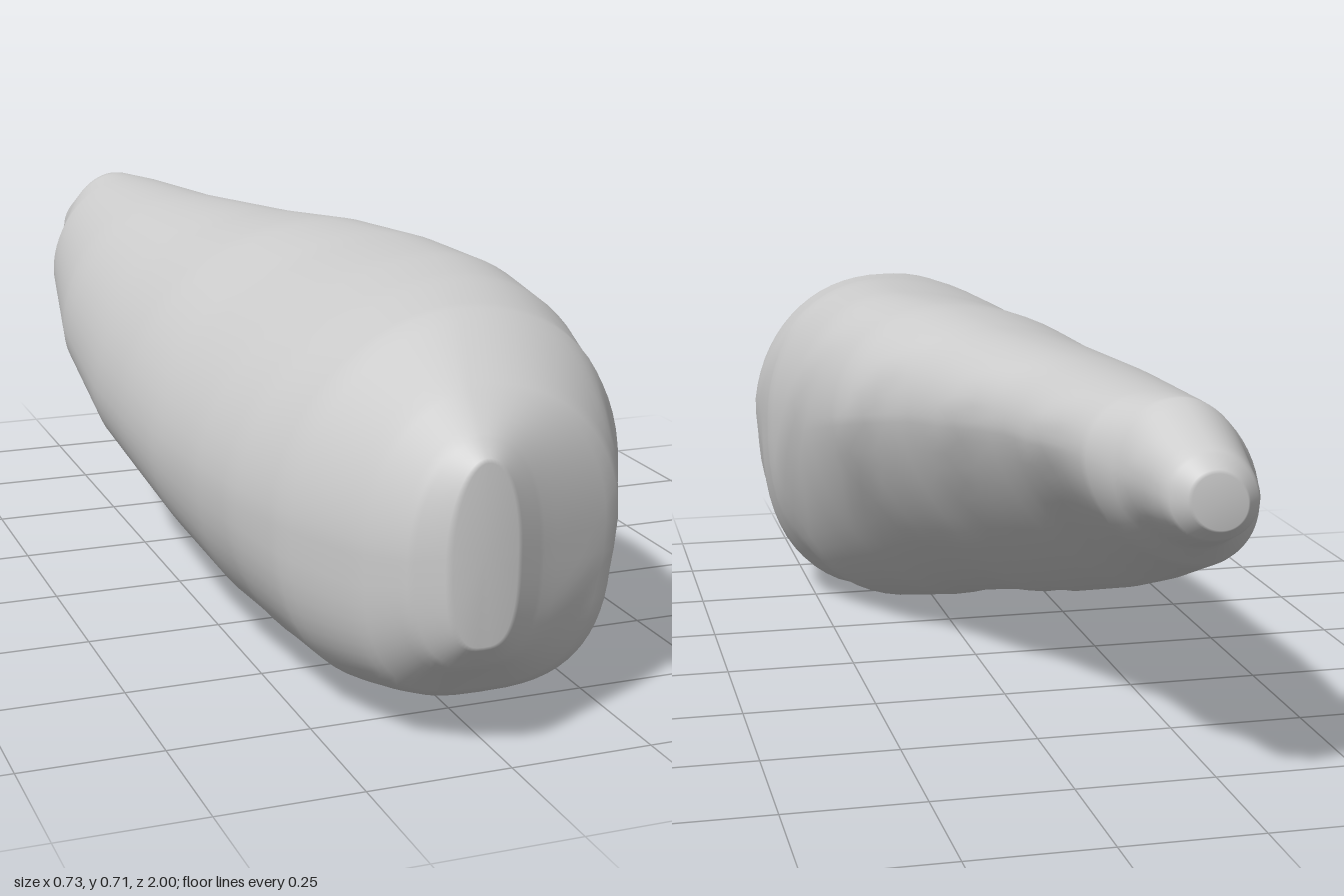
import * as THREE from 'three';

// Cross-sections: z, min x, max x, bottom y, top y, then where each extreme sits:
// x of the top, x of the bottom, y of the left edge, y of the right edge
const SECTIONS = [
  [-1.0, -0.2, -0.11, 0.5, 0.59, -0.15, -0.16, 0.54, 0.55],
  [-0.97, -0.23, -0.075, 0.475, 0.62, -0.15, -0.16, 0.54, 0.55],
  [-0.85, -0.26, -0.04, 0.43, 0.68, -0.14, -0.18, 0.52, 0.57],
  [-0.77, -0.305, 0.005, 0.38, 0.68, -0.12, -0.21, 0.48, 0.58],
  [-0.5, -0.35, 0.065, 0.275, 0.685, -0.08, -0.22, 0.41, 0.57],
  [-0.2, -0.365, 0.175, 0.175, 0.695, 0, -0.15, 0.36, 0.54],
  [0, -0.365, 0.27, 0.13, 0.71, 0.05, -0.09, 0.35, 0.5],
  [0.2, -0.36, 0.32, 0.07, 0.71, 0.11, -0.02, 0.34, 0.46],
  [0.4, -0.345, 0.36, 0.01, 0.71, 0.11, 0.04, 0.34, 0.42],
  [0.55, -0.325, 0.363, 0, 0.7, 0.08, 0.05, 0.34, 0.4],
  [0.7, -0.29, 0.335, 0.02, 0.68, 0.03, 0.04, 0.34, 0.38],
  [0.87, -0.22, 0.24, 0.075, 0.6, -0.03, 0, 0.34, 0.35],
  [0.96, -0.17, 0.065, 0.16, 0.545, -0.05, -0.04, 0.35, 0.35],
  [1.0, -0.11, 0, 0.21, 0.51, -0.055, -0.055, 0.36, 0.36],
];
const SEGMENTS = 64;
const STEPS = 6;
const { lerp, smoothstep } = THREE.MathUtils;

// Shallow slanted growth steps
function relief(y, z) {
  const t = (z + 0.6 * y) / 0.27;
  const saw = t - Math.floor(t);
  return (saw < 0.8 ? saw / 0.8 : (1 - saw) / 0.2) - 0.5;
}

// Fullness of a quarter curve: the underside is cut away on the +x side
// towards the rear and boxy at the nose
function fullness(right, up, z) {
  if (up) return right ? 2.15 : 1.9;
  if (right) return 1.5 + 1.4 * smoothstep(z, -0.1, 0.9) + 0.5 * smoothstep(-z, 0.6, 0.95);
  return 2.1 + 0.8 * smoothstep(z, 0.5, 0.9);
}

function buildBody() {
  const positions = [], indices = [];
  const rings = (SECTIONS.length - 1) * STEPS + 1;

  for (let r = 0; r < rings; r++) {
    const k = Math.min(Math.floor(r / STEPS), SECTIONS.length - 2);
    const [z, x0, x1, y0, y1, xTop, xBottom, yLeft, yRight] =
      SECTIONS[k].map((v, c) => lerp(v, SECTIONS[k + 1][c], r / STEPS - k));
    // Relief fades out at both rounded ends
    const fade = Math.min(1, (1 - Math.abs(z)) * 5);
    for (let s = 0; s < SEGMENTS; s++) {
      const a = (s / SEGMENTS) * Math.PI * 2;
      const c = Math.cos(a), d = Math.sin(a);
      // Each quarter is its own curve between two neighbouring extremes
      const right = c > 0, up = d > 0;
      const n = fullness(right, up, z);
      const cx = up ? xTop : xBottom, cy = right ? yRight : yLeft;
      const x = cx + Math.pow(Math.abs(c), 2 / n) * ((right ? x1 : x0) - cx);
      const y = cy + Math.pow(Math.abs(d), 2 / n) * ((up ? y1 : y0) - cy);
      // Steps show only on the +x flank and underside
      const push = 0.014 * fade * Math.max(0, Math.cos(a + 0.5)) * relief(y, z);
      positions.push(x - push * c, y - push * d, z);
    }
  }

  // Skin between neighbouring rings
  for (let r = 0; r < rings - 1; r++) {
    for (let s = 0; s < SEGMENTS; s++) {
      const a = r * SEGMENTS + s, b = r * SEGMENTS + (s + 1) % SEGMENTS;
      indices.push(a, b, a + SEGMENTS, b, b + SEGMENTS, a + SEGMENTS);
    }
  }

  // End caps
  for (const front of [false, true]) {
    const [z, x0, x1, y0, y1] = SECTIONS[front ? SECTIONS.length - 1 : 0];
    const start = front ? (rings - 1) * SEGMENTS : 0;
    const centre = positions.length / 3;
    positions.push((x0 + x1) / 2, (y0 + y1) / 2, z);
    for (let s = 0; s < SEGMENTS; s++) {
      const a = start + s, b = start + (s + 1) % SEGMENTS;
      if (front) indices.push(centre, a, b);
      else indices.push(centre, b, a);
    }
  }

  const geometry = new THREE.BufferGeometry();
  geometry.setAttribute('position', new THREE.Float32BufferAttribute(positions, 3));
  geometry.setIndex(indices);
  geometry.computeVertexNormals();
  return geometry;
}

export function createModel() {
  const group = new THREE.Group();
  group.name = 'taperedStone';
  const body = new THREE.Mesh(buildBody(), new THREE.MeshStandardMaterial({ color: 0xcccccc }));
  body.name = 'stoneBody';
  group.add(body);
  return group;
}
